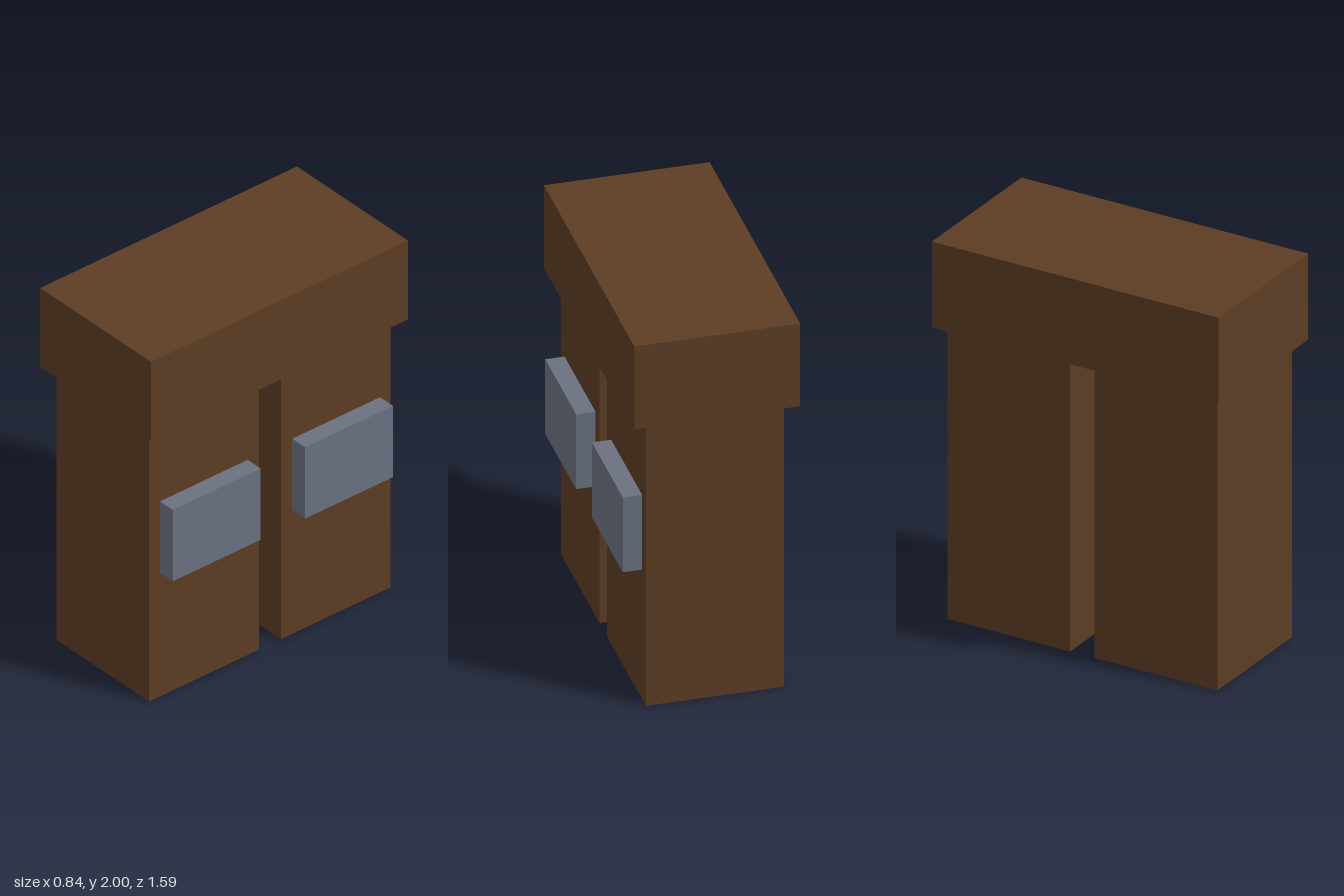
import * as THREE from 'three';

export function createModel() {
  const model = new THREE.Group();
  const brown = new THREE.MeshStandardMaterial({ color: 0x5c3d23 });
  const slate = new THREE.MeshStandardMaterial({ color: 0x6a7180 });
  brown.name = 'brown cloth';
  slate.name = 'slate grey';

  // Box given by its lower and upper corners
  function block(name, material, [x0, y0, z0], [x1, y1, z1]) {
    const mesh = new THREE.Mesh(new THREE.BoxGeometry(x1 - x0, y1 - y0, z1 - z0), material);
    mesh.position.set((x0 + x1) / 2, (y0 + y1) / 2, (z0 + z1) / 2);
    mesh.name = name;
    model.add(mesh);
  }

  // Waist block across both legs
  block('waist', brown, [-0.42, 1.548, -0.795], [0.395, 2, 0.795]);

  // Two legs, each with a knee pad on the +x side
  for (const [side, s] of [['front', 1], ['back', -1]]) {
    const span = (a, b) => (s > 0 ? [a, b] : [-b, -a]);
    const [l0, l1] = span(0.068, 0.748);
    const [p0, p1] = span(0.138, 0.682);
    block(side + 'Leg', brown, [-0.355, 0, l0], [0.325, 1.548, l1]);
    block(side + 'KneePad', slate, [0.325, 0.708, p0], [0.42, 1.116, p1]);
  }

  return model;
}
